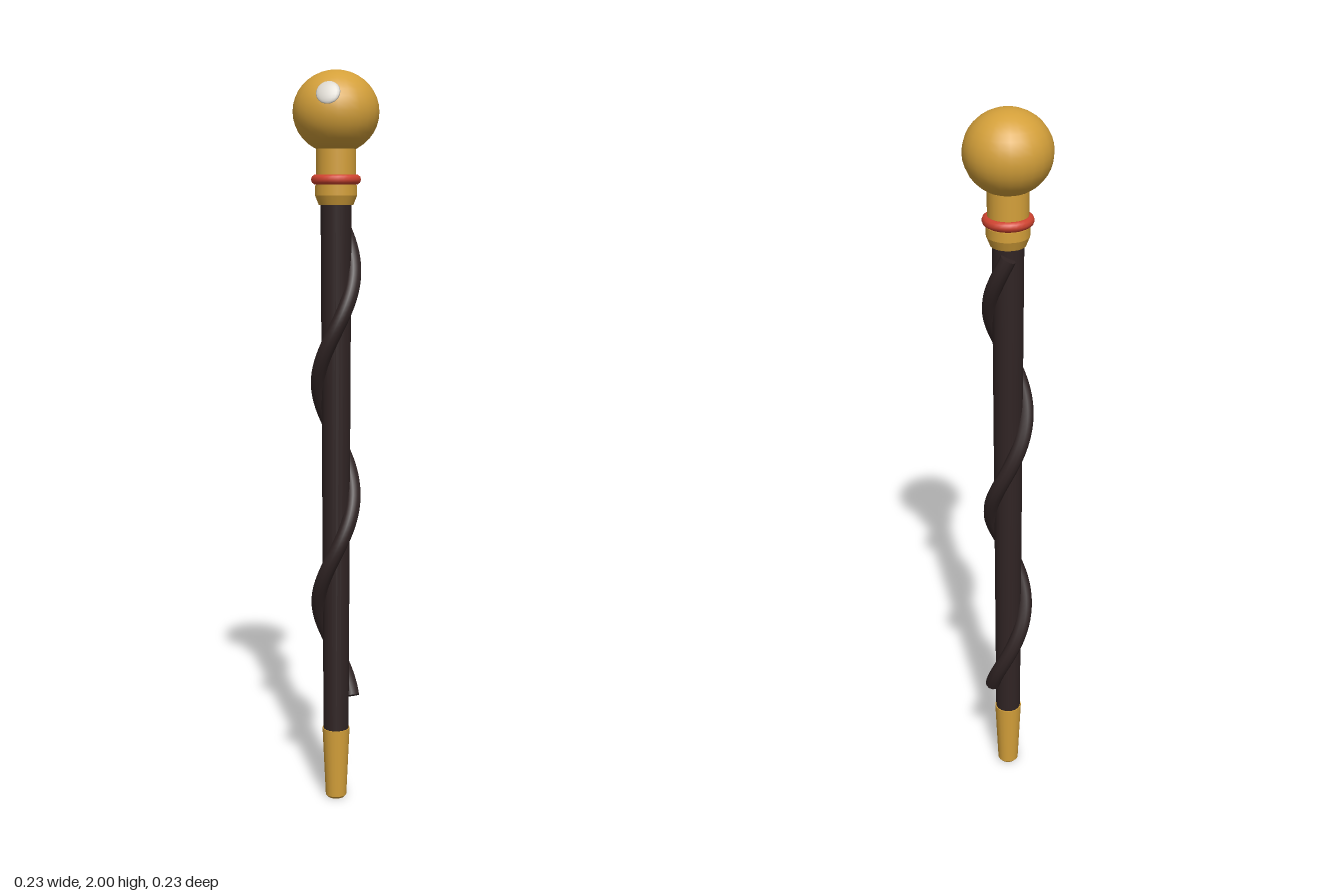
import * as THREE from 'three';

const paint = (name, color) => {
  const m = new THREE.MeshStandardMaterial({ color });
  m.name = name;
  return m;
};

// Helix rising around the shaft
class Helix extends THREE.Curve {
  constructor(radius, y0, y1, turns) {
    super();
    Object.assign(this, { radius, y0, y1, turns });
  }
  getPoint(t, target = new THREE.Vector3()) {
    const a = t * this.turns * Math.PI * 2;
    return target.set(
      Math.cos(a) * this.radius,
      this.y0 + (this.y1 - this.y0) * t,
      -Math.sin(a) * this.radius
    );
  }
}

export function createModel() {
  const gold = paint('gold', 0xd4a03a);
  const darkWood = paint('dark wood', 0x302424);
  const red = paint('red', 0xcf4330);
  const silver = paint('pale silver', 0xd8d4cc);

  const group = new THREE.Group();
  group.name = 'walkingCane';
  const add = (name, geometry, material, x = 0, y = 0, z = 0) => {
    const mesh = new THREE.Mesh(geometry, material);
    mesh.name = name;
    mesh.position.set(x, y, z);
    group.add(mesh);
    return mesh;
  };

  // Tapered metal tip
  add('ferrule', new THREE.CylinderGeometry(0.038, 0.029, 0.196, 20), gold, 0, 0.104, 0);
  add('ferruleFoot', new THREE.CylinderGeometry(0.029, 0.024, 0.006, 20), gold, 0, 0.003, 0);

  // Shaft, slightly thicker at the top
  add('shaft', new THREE.CylinderGeometry(0.041, 0.035, 1.47, 20), darkWood, 0, 0.925, 0);

  // Twisting vine with closed ends
  const helix = new Helix(0.047, 0.29, 1.63, 2.2);
  const vineRadius = 0.021;
  add('vine', new THREE.TubeGeometry(helix, 110, vineRadius, 10, false), darkWood);
  for (const [t, sign] of [[0, -1], [1, 1]]) {
    const p = helix.getPoint(t);
    const cap = add('vineEnd', new THREE.CircleGeometry(vineRadius, 10), darkWood, p.x, p.y, p.z);
    const out = helix.getTangent(t).multiplyScalar(sign);
    cap.quaternion.setFromUnitVectors(new THREE.Vector3(0, 0, 1), out);
  }

  // Collar: narrow foot, wide band, straight neck
  add('collarFoot', new THREE.CylinderGeometry(0.056, 0.046, 0.025, 24), gold, 0, 1.6635, 0);
  add('collarBand', new THREE.CylinderGeometry(0.056, 0.056, 0.026, 24), gold, 0, 1.689, 0);
  add('collarNeck', new THREE.CylinderGeometry(0.053, 0.053, 0.105, 24), gold, 0, 1.744, 0);

  // Red ring around the collar
  const ring = add('collarRing', new THREE.TorusGeometry(0.053, 0.0135, 10, 28), red, 0, 1.717, 0);
  ring.rotation.x = Math.PI / 2;

  // Slightly flattened ball handle
  const ball = add('ballHandle', new THREE.SphereGeometry(0.114, 24, 18), gold, 0, 1.892, 0);
  ball.scale.y = 0.108 / 0.114;

  // Pale disc set into the ball
  const normal = new THREE.Vector3(-0.048, 0.047, 0.087).normalize();
  const disc = add('ballInlay', new THREE.SphereGeometry(0.032, 16, 10), silver, -0.049, 1.937, 0.087);
  disc.scale.z = 0.26;
  disc.quaternion.setFromUnitVectors(new THREE.Vector3(0, 0, 1), normal);

  return group;
}
